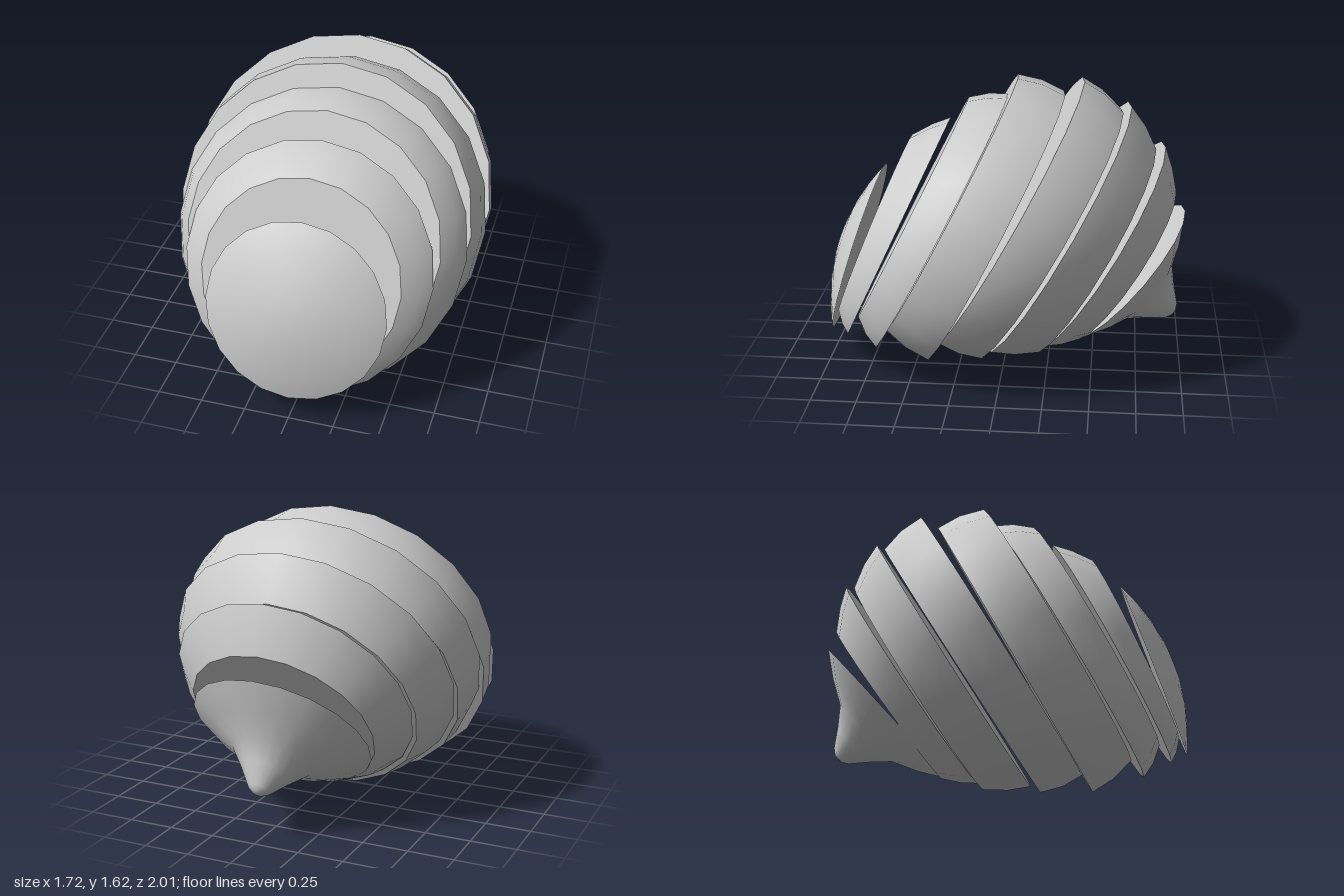
import * as THREE from 'three';
import { mergeVertices, mergeGeometries } from 'three/addons/utils/BufferGeometryUtils.js';

const SIDES = 20;
const material = new THREE.MeshStandardMaterial({ color: 0xcccccc });

// A ring is a tilted circle given by its top and bottom points as [z, y].
function ringPoints([top, bottom]) {
  const c = [(top[0] + bottom[0]) / 2, (top[1] + bottom[1]) / 2];
  const u = [(top[0] - bottom[0]) / 2, (top[1] - bottom[1]) / 2];
  const r = Math.hypot(u[0], u[1]);
  return Array.from({ length: SIDES }, (_, j) => {
    const a = (j / SIDES) * Math.PI * 2;
    return [Math.sin(a) * r, c[1] + u[1] * Math.cos(a), c[0] + u[0] * Math.cos(a)];
  });
}

function toGeometry(points, index) {
  const g = new THREE.BufferGeometry();
  g.setAttribute('position', new THREE.Float32BufferAttribute(points.flat(), 3));
  g.setIndex(index);
  const merged = mergeVertices(g, 1e-5);
  merged.computeVertexNormals();
  return merged;
}

// Smooth skin through rings ordered front to back
function skin(rings) {
  const index = [];
  for (let i = 0; i < rings.length - 1; i++) {
    for (let j = 0; j < SIDES; j++) {
      const a = i * SIDES + j, b = i * SIDES + ((j + 1) % SIDES);
      index.push(a, b, a + SIDES, b, b + SIDES, a + SIDES);
    }
  }
  return toGeometry(rings.flatMap(ringPoints), index);
}

// Flat disc closing a ring
function disc(ring, facesFront) {
  const [t, b] = ring;
  const points = [...ringPoints(ring), [0, (t[1] + b[1]) / 2, (t[0] + b[0]) / 2]];
  const index = [];
  for (let j = 0; j < SIDES; j++) {
    const k = (j + 1) % SIDES;
    index.push(SIDES, ...(facesFront ? [k, j] : [j, k]));
  }
  return toGeometry(points, index);
}

// Ring with the same tilt: radius scaled, centre moved along the forward normal
function offsetRing([t, b], scale, shift) {
  const u = [(t[0] - b[0]) / 2, (t[1] - b[1]) / 2];
  const r = Math.hypot(u[0], u[1]);
  const c = [(t[0] + b[0]) / 2 + (u[1] / r) * shift, (t[1] + b[1]) / 2 - (u[0] / r) * shift];
  return [
    [c[0] + u[0] * scale, c[1] + u[1] * scale],
    [c[0] - u[0] * scale, c[1] - u[1] * scale],
  ];
}

// Ring halfway between two others, slightly swollen
function middleRing(a, b) {
  const mid = a.map((p, i) => [(p[0] + b[i][0]) / 2, (p[1] + b[i][1]) / 2]);
  return offsetRing(mid, 1.02, 0);
}

export function createModel() {
  const group = new THREE.Group();
  const add = (name, ...parts) => {
    const mesh = new THREE.Mesh(mergeGeometries(parts), material);
    mesh.name = name;
    group.add(mesh);
  };

  // Shallow domed front plate
  const frontRim = [[0.70, 1.09], [0.995, 0.14]];
  const dome = [0, 0.25, 0.5, 0.75, 0.9, 1].map((s) => offsetRing(frontRim, s, 0.12 * (1 - s * s)));
  add('frontDome', skin(dome), disc(frontRim, false));

  // Tilted body slices: front ring, back ring
  const slices = [
    [[[0.545, 1.26], [0.96, 0.25]], [[0.325, 1.36], [0.91, 0.12]]],
    [[[0.22, 1.48], [0.85, 0.23]], [[0.0, 1.50], [0.755, 0.06]]],
    [[[-0.06, 1.615], [0.69, 0.165]], [[-0.32, 1.525], [0.465, 0.0]]],
    [[[-0.425, 1.605], [0.41, 0.105]], [[-0.64, 1.435], [0.175, 0.02]]],
    [[[-0.685, 1.47], [0.12, 0.06]], [[-0.825, 1.235], [-0.15, 0.055]]],
    [[[-0.877, 1.247], [-0.18, 0.095]], [[-0.945, 0.99], [-0.38, 0.13]]],
  ];
  slices.forEach(([front, back], i) => {
    add(`bodySlice${i + 1}`, skin([front, middleRing(front, back), back]), disc(front, true), disc(back, false));
  });

  // Concave tail cone with a blunt tip
  const tailRim = [[-1.0, 0.88], [-0.35, 0.13]];
  const profile = [[1, 0], [0.72, -0.09], [0.44, -0.16], [0.27, -0.255], [0.12, -0.35], [0.06, -0.37], [0, -0.375]];
  add('tailCone', skin(profile.map(([s, d]) => offsetRing(tailRim, s, d))), disc(tailRim, true));

  return group;
}
